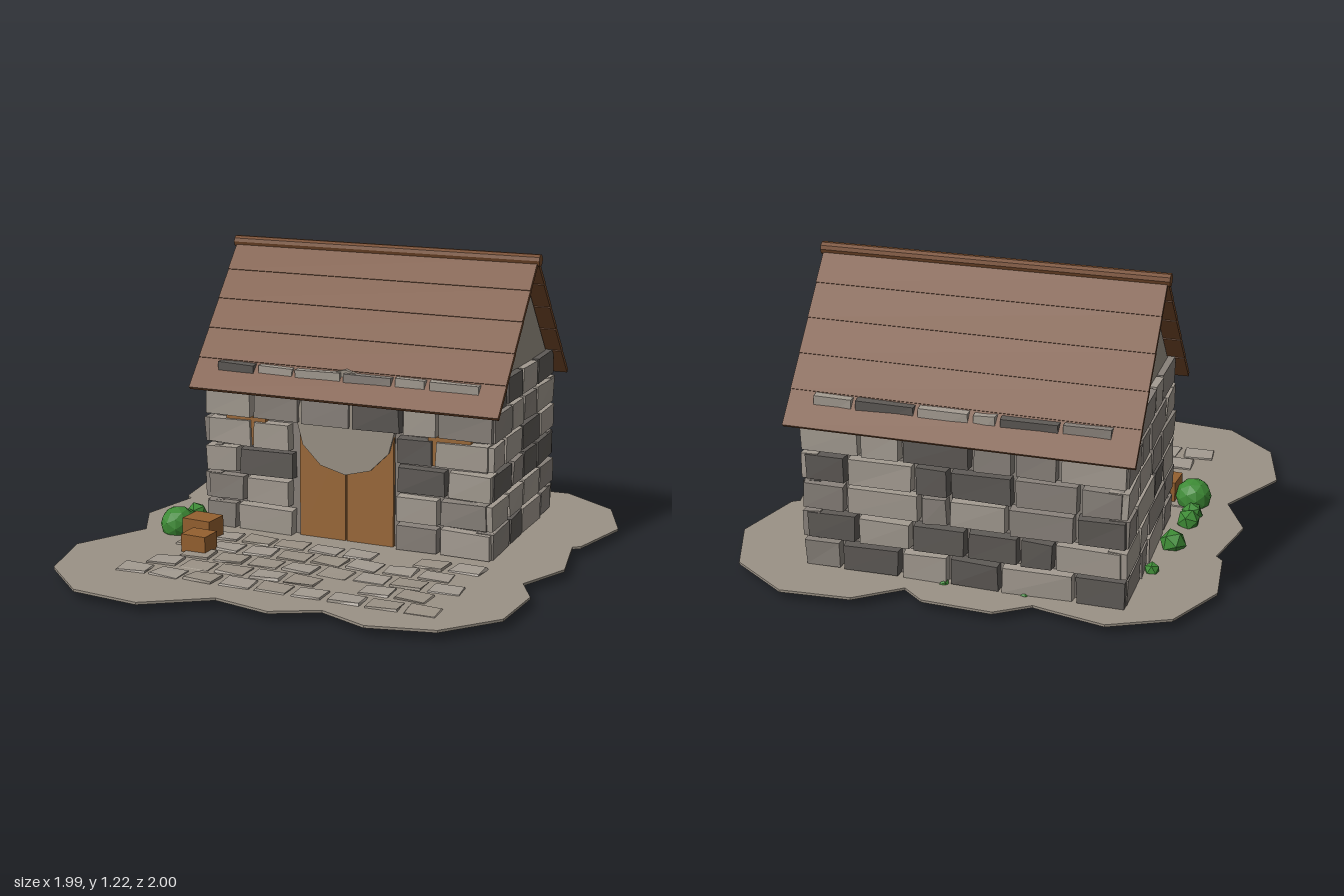
import * as THREE from 'three';

const mat = (name, color, flatShading = true) => {
  const m = new THREE.MeshStandardMaterial({ color, flatShading });
  m.name = name;
  return m;
};

export function createModel() {
  const M = {
    light: mat('light stone', 0xa39b91),
    mid: mat('mid stone', 0x88817a),
    dark: mat('dark stone', 0x5e5a56),
    plaster: mat('plaster and ground', 0x9b9286),
    roof: mat('roof wood', 0x74492a),
    ridge: mat('ridge wood', 0x5f3c22),
    door: mat('door wood', 0x9c6a3a),
    crate: mat('crate wood', 0x94602f),
    leaf: mat('leaves', 0x3d8a35),
  };
  const model = new THREE.Group();
  model.name = 'stoneHut';

  let seed = 7;
  const rnd = () => (seed = (seed * 16807) % 2147483647) / 2147483647;

  const add = (name, geo, material, x = 0, y = 0, z = 0, parent = model) => {
    const mesh = new THREE.Mesh(geo, material);
    mesh.name = name;
    mesh.position.set(x, y, z);
    parent.add(mesh);
    return mesh;
  };
  const box = (name, w, h, d, material, x, y, z, parent) =>
    add(name, new THREE.BoxGeometry(w, h, d), material, x, y, z, parent);

  // Hewn stone: box whose eight corners are nudged inwards, outer (+z) face inset
  const hewn = (w, h, d, wobble, inset) => {
    const geo = new THREE.BoxGeometry(w, h, d);
    const p = geo.attributes.position;
    const nudge = Array.from({ length: 8 }, () => [rnd(), rnd(), rnd()]);
    for (let i = 0; i < p.count; i++) {
      const s = [Math.sign(p.getX(i)), Math.sign(p.getY(i)), Math.sign(p.getZ(i))];
      const n = nudge[(s[0] > 0) * 4 + (s[1] > 0) * 2 + (s[2] > 0)];
      const cut = s[2] > 0 ? inset : 0;
      p.setXYZ(i, p.getX(i) - s[0] * (cut + n[0] * wobble),
        p.getY(i) - s[1] * (cut + n[1] * wobble),
        p.getZ(i) - (s[2] > 0 ? n[2] * wobble : 0));
    }
    geo.computeVertexNormals();
    return geo;
  };
  const stoneMat = () => {
    const r = rnd();
    return r < 0.42 ? M.light : r < 0.75 ? M.mid : M.dark;
  };

  // Ground patch
  const outline = [
    [-0.94, -0.55], [-0.82, -0.79], [-0.59, -0.9], [-0.34, -0.85], [-0.3, -0.84], [-0.17, -0.93],
    [0.11, -0.92], [0.2, -0.85], [0.37, -0.98], [0.65, -1], [0.89, -0.84], [0.99, -0.58],
    [0.91, -0.29], [0.88, -0.27], [0.93, 0.01], [0.83, 0.23], [0.9, 0.36], [0.88, 0.62],
    [0.7, 0.82], [0.44, 0.88], [0.24, 0.8], [0.06, 0.89], [-0.18, 0.84], [-0.43, 1],
    [-0.72, 0.97], [-0.93, 0.78], [-1, 0.5], [-0.84, 0.21], [-0.94, 0.01], [-0.88, -0.26], [-0.91, -0.29],
  ].map(([x, z]) => new THREE.Vector2(x, -z));
  const groundGeo = new THREE.ExtrudeGeometry(new THREE.Shape(outline), { depth: 0.01, bevelEnabled: false });
  add('ground', groundGeo.rotateX(-Math.PI / 2), M.plaster, 0, 0.035, 0);

  // Wall core and gable prism
  box('wallCore', 1.2, 0.72, 0.74, M.mid, 0, 0.392, -0.365);
  const tri = new THREE.Shape([
    new THREE.Vector2(-0.36, 0.745), new THREE.Vector2(0.36, 0.745), new THREE.Vector2(0, 1.165)]);
  const gable = new THREE.ExtrudeGeometry(tri, { depth: 1.22, bevelEnabled: false });
  add('gables', gable.translate(0, 0, -0.61).rotateY(Math.PI / 2), M.plaster, 0, 0, -0.365);

  // Stone courses: each wall group faces its local +z
  const wall = (name, x, z, turn) => {
    const g = new THREE.Group();
    g.name = name;
    g.position.set(x, 0, z);
    g.rotation.y = turn;
    model.add(g);
    return g;
  };
  const course = (parent, row, from, to) => {
    const n = Math.max(1, Math.round((to - from) / 0.2));
    const cuts = [from];
    for (let i = 1; i < n; i++) cuts.push(from + (to - from) * (i + (rnd() - 0.5) * 0.55) / n);
    cuts.push(to);
    for (let i = 0; i < n; i++) {
      const w = cuts[i + 1] - cuts[i];
      add('stone', hewn(w - 0.006, 0.117, 0.075, 0.007, 0.003), stoneMat(),
        (cuts[i] + cuts[i + 1]) / 2, 0.1 + row * 0.121, -0.0375, parent);
    }
  };
  const front = wall('frontWall', 0, 0.052, 0);
  const back = wall('backWall', 0, -0.782, Math.PI);
  const left = wall('leftWall', 0.642, -0.365, Math.PI / 2);
  const right = wall('rightWall', -0.642, -0.365, -Math.PI / 2);
  for (let row = 0; row < 6; row++) {
    const long = row % 2 === 0;
    const hx = row === 5 ? 0.58 : long ? 0.64 : 0.625;
    const hz = row === 5 ? 0.385 : long ? 0.4 : 0.415;
    if (row < 4) {
      course(front, row, -hx, -0.225 - (row % 2) * 0.015);
      course(front, row, 0.225, hx);
    } else course(front, row, -hx, hx);
    course(back, row, -hx, hx);
    course(left, row, -hz, hz);
    course(right, row, -hz, hz);
  }

  // Double door, round panel over it, and small shutters behind the stones
  for (const s of [-1, 1]) {
    box('doorLeaf', 0.205, 0.47, 0.03, M.door, s * 0.106, 0.275, 0.008);
    box('shutter', 0.18, 0.12, 0.04, M.door, s * 0.45, 0.472, 0.015);
  }
  box('doorGap', 0.42, 0.46, 0.01, M.dark, 0, 0.27, 0.004);
  const disc = new THREE.CylinderGeometry(0.22, 0.22, 0.03, 12).rotateX(Math.PI / 2);
  add('roundPanel', disc, M.plaster, 0, 0.55, 0.019);

  // Roof: five lapped boards per slope and a round ridge pole
  const run = 0.465, drop = 0.55, boards = 5;
  const len = Math.hypot(run, drop), pitch = Math.atan2(drop, run);
  for (const s of [1, -1]) {
    for (let i = 0; i < boards; i++) {
      const t = (i + 0.5) / boards;
      const board = box('roofBoard', 1.35, 0.018, len / boards + 0.008, M.roof,
        0, 1.2 - drop * t, -0.365 + s * run * t);
      board.rotation.x = s * (pitch - 0.025);
    }
  }
  const pole = new THREE.CylinderGeometry(0.025, 0.025, 1.37, 10).rotateZ(Math.PI / 2);
  add('ridgePole', pole, M.roof, 0, 1.2, -0.365);

  // Paving: five staggered rows with a few stones missing
  const paving = new THREE.Group();
  paving.name = 'paving';
  model.add(paving);
  const missing = [[6], [], [0], [5], []];
  missing.forEach((gaps, row) => {
    const odd = row % 2;
    for (let i = 0; i < 9 - odd; i++) {
      if (gaps.includes(i)) continue;
      const geo = hewn(0.137, 0.108, 0.016, 0.009, 0.003).rotateX(-Math.PI / 2);
      const slab = add('pavingStone', geo, rnd() < 0.6 ? M.light : M.plaster,
        -0.63 + odd * 0.068 + i * 0.152, 0.048, 0.17 + row * 0.123, paving);
      slab.rotation.y = (rnd() - 0.5) * 0.18;
    }
  });

  // Crates
  for (const [x, z, w, h, d, turn] of [
    [-0.565, 0.215, 0.13, 0.09, 0.11, -0.08], [-0.5, 0.37, 0.112, 0.075, 0.095, -0.06]]) {
    box('crate', w, h, d, M.crate, x, 0.045 + h / 2, z).rotation.y = turn;
  }

  // Bushes along the right wall and sprouts at the back
  for (const [x, y, z, r] of [
    [-0.7, 0.078, 0.18, 0.075], [-0.72, 0.062, -0.02, 0.05], [-0.72, 0.062, 0.055, 0.045],
    [-0.7, 0.062, -0.225, 0.055], [-0.665, 0.05, -0.45, 0.032],
    [0.22, 0.04, -0.76, 0.02], [0.07, 0.04, -0.77, 0.022], [-0.08, 0.04, -0.76, 0.018], [-0.25, 0.04, -0.77, 0.02]]) {
    const bush = add('bush', new THREE.IcosahedronGeometry(r, r > 0.06 ? 1 : 0), M.leaf, x, y, z);
    bush.rotation.set(rnd() * 3, rnd() * 3, 0);
  }
  return model;
}
